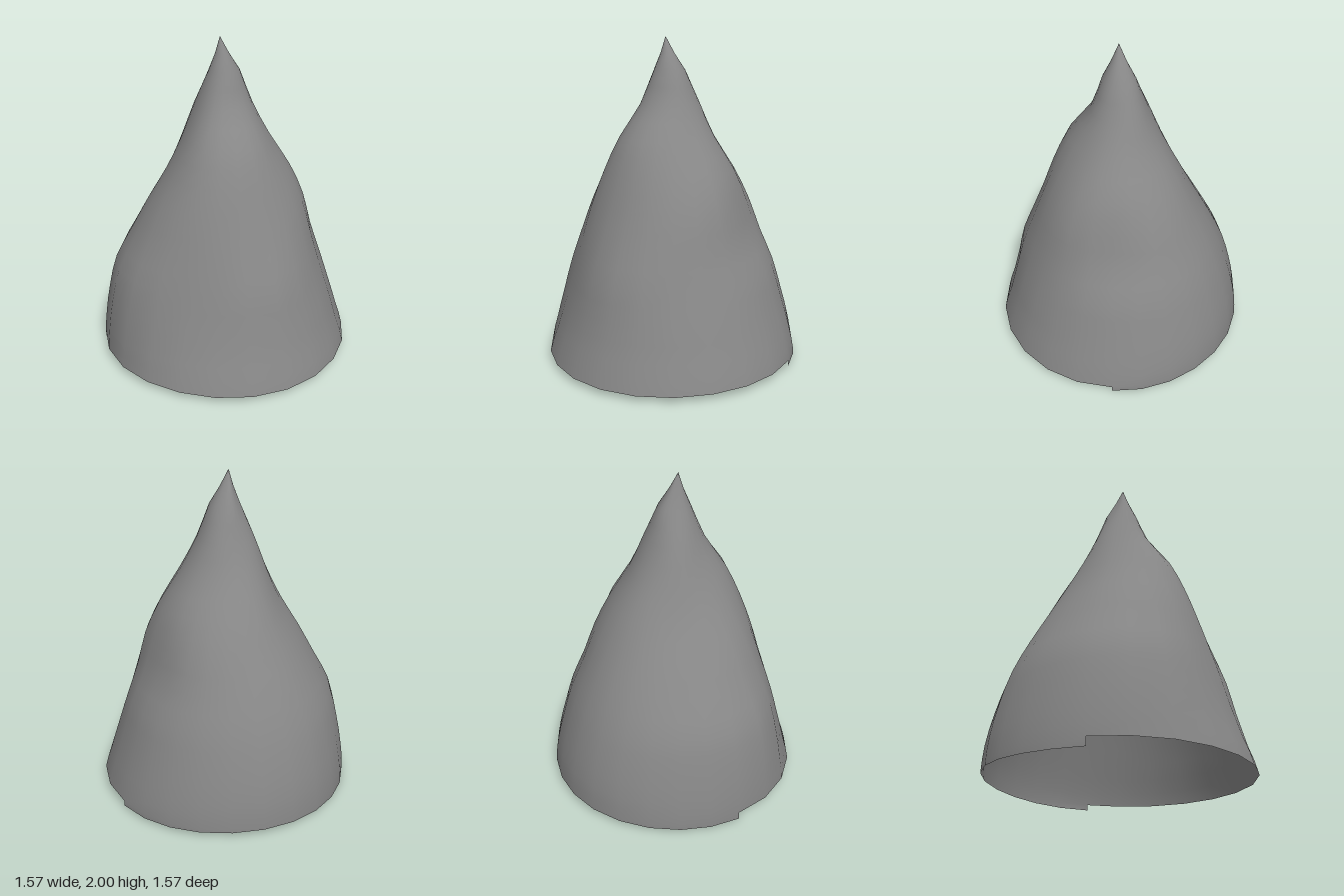
import * as THREE from 'three';

const WIDE = 13, NARROW = 11; // columns on the high and on the low part of the rim
const SIDES = WIDE + NARROW;
const STEP_A = -53.3, STEP_B = 155.6; // angles of the two steps in the rim
const SUBROWS = 2;
const APEX = { x: -0.02, z: 0.032 };

// height, then radii every 45 degrees, from +x towards +z
const RINGS = [
  [0.04, 0.788, 0.795, 0.783, 0.8, 0.79, 0.803, 0.79, 0.79],
  [0.2, 0.737, 0.745, 0.73, 0.785, 0.772, 0.79, 0.768, 0.748],
  [0.4, 0.677, 0.692, 0.667, 0.753, 0.732, 0.745, 0.717, 0.685],
  [0.6, 0.61, 0.645, 0.61, 0.702, 0.678, 0.68, 0.657, 0.625],
  [0.8, 0.55, 0.565, 0.555, 0.6, 0.572, 0.59, 0.572, 0.545],
  [1.0, 0.485, 0.485, 0.495, 0.498, 0.46, 0.485, 0.493, 0.475],
  [1.2, 0.39, 0.412, 0.42, 0.378, 0.345, 0.38, 0.388, 0.395],
  [1.4, 0.275, 0.32, 0.325, 0.268, 0.262, 0.265, 0.262, 0.272],
  [1.6, 0.167, 0.17, 0.192, 0.18, 0.185, 0.17, 0.175, 0.165],
  [1.8, 0.09, 0.1, 0.107, 0.105, 0.09, 0.1, 0.085, 0.085],
  [2.0, 0, 0, 0, 0, 0, 0, 0, 0],
];

// local ridge and dent: angle, angular width, height, vertical width, amount
const BUMPS = [
  [340, 14, 1.08, 0.15, 0.018],
  [306, 18, 0.85, 0.18, -0.028],
];

// smooth curve from b to c
const spline = (a, b, c, d, f) =>
  b + 0.5 * f * (c - a + f * (2 * a - 5 * b + 4 * c - d + f * (3 * (b - c) + d - a)));

// column angle in degrees
const angleAt = (k) => (k <= WIDE
  ? STEP_A + (STEP_B - STEP_A) * k / WIDE
  : STEP_B + (STEP_A + 360 - STEP_B) * (k - WIDE) / NARROW);

// closed interpolation of the eight radii of one ring
function ringRadius([height, ...radii], degrees) {
  const turned = (degrees + 360) % 360;
  const t = turned / 45, i = Math.floor(t);
  const [a, b, c, d] = [7, 8, 9, 10].map((n) => radii[(i + n) % 8]);
  return BUMPS.reduce((r, [angle, spread, y, tall, amount]) =>
    r + amount * Math.exp(-(((turned - angle) / spread) ** 2) - ((height - y) / tall) ** 2),
  spline(a, b, c, d, t - i));
}

// radius at a fractional ring number
function wallRadius(row, degrees) {
  const last = RINGS.length - 1;
  const i = Math.min(Math.floor(row), last - 1);
  const [a, b, c, d] = [-1, 0, 1, 2].map((n) =>
    ringRadius(RINGS[THREE.MathUtils.clamp(i + n, 0, last)], degrees));
  return spline(a, b, c, d, row - i);
}

function coneShellGeometry() {
  const positions = [], indices = [];
  const addPoint = (row, column, y) => {
    const degrees = angleAt(column), angle = THREE.MathUtils.degToRad(degrees);
    const r = wallRadius(row, degrees);
    const lean = Math.max(0, (y - 1.8) / 0.2);
    positions.push(APEX.x * lean + r * Math.cos(angle), y, APEX.z * lean + r * Math.sin(angle));
    return positions.length / 3 - 1;
  };
  const addQuad = (a, b, aUp, bUp) => indices.push(a, aUp, b, b, aUp, bUp);

  // wavy wall up to the leaning tip, with a slightly uneven rim
  const rows = (RINGS.length - 1) * SUBROWS;
  const grid = [];
  for (let j = 0; j <= rows; j++) {
    const row = j / SUBROWS, i = Math.min(Math.floor(row), RINGS.length - 2);
    const height = THREE.MathUtils.lerp(RINGS[i][0], RINGS[i + 1][0], row - i);
    grid.push(Array.from({ length: SIDES }, (_, k) => {
      const rim = 0.05 - 0.015 * Math.sin(Math.PI * Math.min(k / WIDE, 1));
      return addPoint(row, k, j === 0 ? rim : height);
    }));
  }
  for (let j = 0; j < rows; j++) {
    for (let k = 0; k < SIDES; k++) {
      const next = (k + 1) % SIDES;
      if (j < rows - 1) addQuad(grid[j][k], grid[j][next], grid[j + 1][k], grid[j + 1][next]);
      else indices.push(grid[j][k], grid[j + 1][k], grid[j][next]);
    }
  }

  // arched lower lip along part of the rim, ending in two small steps
  let previous;
  for (let k = WIDE; k <= SIDES; k++) {
    const f = (k - WIDE) / NARROW;
    const low = addPoint(0, k, 0.015 * f + 0.03 * Math.sin(Math.PI * f) ** 2);
    if (k > WIDE) addQuad(previous, low, grid[0][k - 1], grid[0][k % SIDES]);
    previous = low;
  }

  const geometry = new THREE.BufferGeometry();
  geometry.setAttribute('position', new THREE.Float32BufferAttribute(positions, 3));
  geometry.setIndex(indices);
  geometry.computeVertexNormals();
  return geometry;
}

export function createModel() {
  const model = new THREE.Group();
  model.name = 'cone';
  const material = new THREE.MeshStandardMaterial({ color: 0x888888, side: THREE.DoubleSide });
  const shell = new THREE.Mesh(coneShellGeometry(), material);
  shell.name = 'coneShell';
  model.add(shell);
  return model;
}
